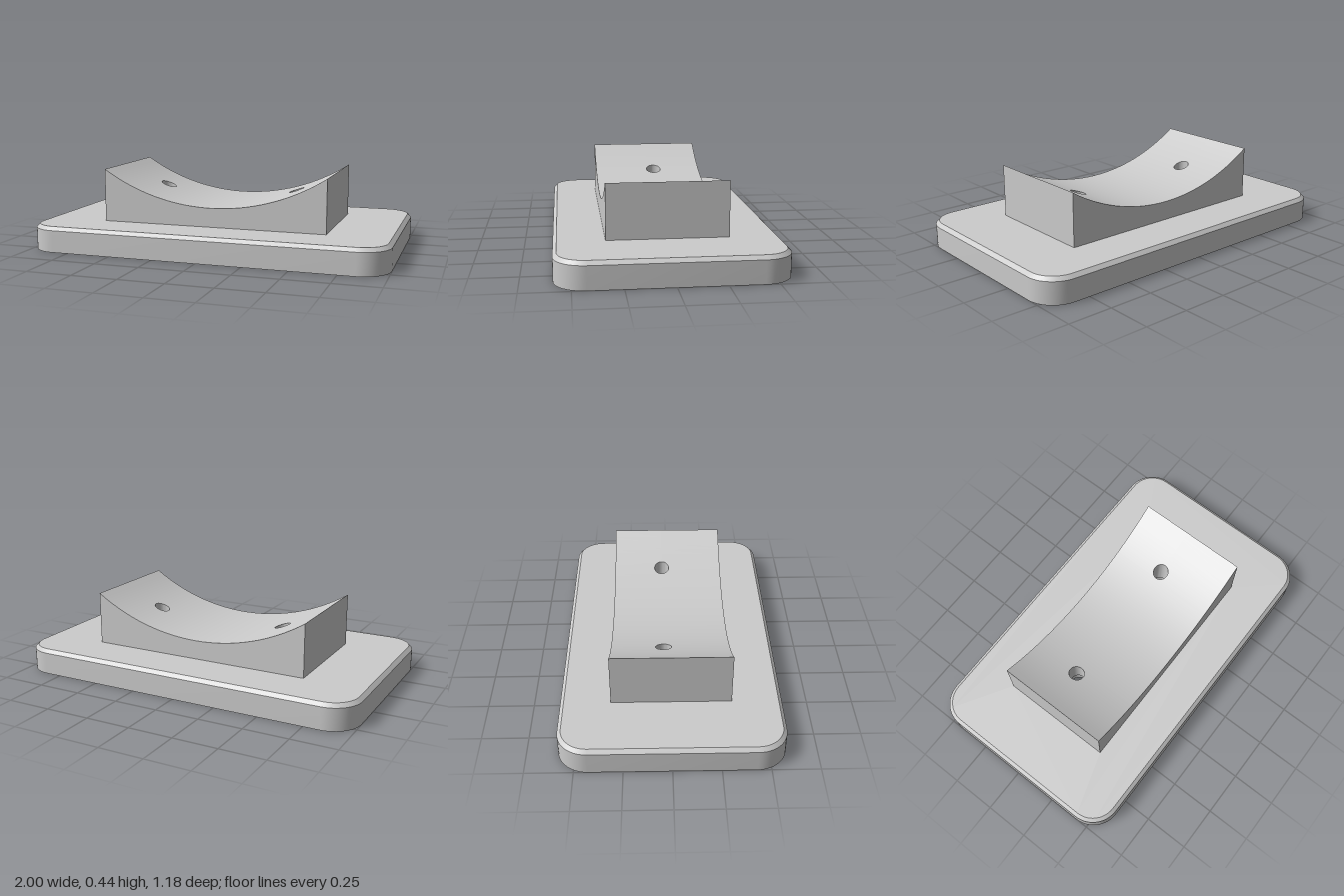
import * as THREE from 'three';
import { toCreasedNormals } from 'three/addons/utils/BufferGeometryUtils.js';

const PLATE = { x: 1, z: 0.588, r: 0.16, h: 0.143, chamfer: 0.02 };
const BLOCK = { x: 0.64, z: 0.32, low: 0.249, high: 0.44 };
const HOLE = { x: 0.393, z: -0.037, r: 0.043, boreR: 0.072 };

const material = new THREE.MeshStandardMaterial({ color: 0xcccccc });

// Saddle curve: circular arc through the block's top corners
const sag = BLOCK.high - BLOCK.low;
const R = (BLOCK.x ** 2 + sag ** 2) / (2 * sag);
const saddleY = (x) => BLOCK.low + R - Math.sqrt(R * R - x * x);

function addMesh(group, name, geometry) {
  const mesh = new THREE.Mesh(geometry, material);
  mesh.name = name;
  group.add(mesh);
  return mesh;
}

// Collects quads (counter-clockwise from outside) into a creased geometry
function quadGeometry(build) {
  const pos = [];
  build((a, b, c, d) => pos.push(...a, ...b, ...c, ...a, ...c, ...d));
  const g = new THREE.BufferGeometry();
  g.setAttribute('position', new THREE.Float32BufferAttribute(pos, 3));
  return toCreasedNormals(g, 0.5);
}

// Rounded rectangle outline as [x, z], same point count for any inset
function outline(inset) {
  const pts = [], n = 12, r = PLATE.r - inset;
  const cx = PLATE.x - PLATE.r, cz = PLATE.z - PLATE.r;
  [[1, 1], [-1, 1], [-1, -1], [1, -1]].forEach(([sx, sz], q) => {
    for (let i = 0; i <= n; i++) {
      const a = (q + i / n) * Math.PI / 2;
      pts.push([sx * cx + r * Math.cos(a), sz * cz + r * Math.sin(a)]);
    }
  });
  return pts;
}

// Flat horizontal face with cut-outs; shape y maps to z, facing down
function flatFace(points, holes) {
  const shape = new THREE.Shape(points.map(([x, z]) => new THREE.Vector2(x, z)));
  shape.holes.push(...holes);
  return new THREE.ShapeGeometry(shape, 24).rotateX(Math.PI / 2);
}

function circlePath(x, r) {
  return new THREE.Path().absarc(x, HOLE.z, r, 0, Math.PI * 2, true);
}

function createPlate() {
  const group = new THREE.Group();
  group.name = 'basePlate';
  const { h, chamfer } = PLATE;

  // Side wall and chamfer
  const levels = [[0, 0], [h - chamfer, 0], [h, chamfer]];
  addMesh(group, 'plateEdge', quadGeometry((quad) => {
    const rings = levels.map(([y, inset]) => outline(inset).map(([x, z]) => [x, y, z]));
    for (let k = 0; k < 2; k++) {
      const lo = rings[k], hi = rings[k + 1];
      lo.forEach((p, i) => {
        const j = (i + 1) % lo.length;
        quad(lo[j], p, hi[i], hi[j]);
      });
    }
  }));

  // Underside with counterbores
  addMesh(group, 'plateBottom', flatFace(outline(0),
    [-1, 1].map((s) => circlePath(s * HOLE.x, HOLE.boreR))));

  // Top face around the block (mirrored in z so that it faces up)
  const { x, z } = BLOCK;
  const opening = new THREE.Path([[-x, -z], [-x, z], [x, z], [x, -z]]
    .map(([a, b]) => new THREE.Vector2(a, b)));
  const top = addMesh(group, 'plateTop', flatFace(outline(chamfer), [opening]));
  top.rotation.x = Math.PI;
  top.position.y = h;

  // Counterbore walls (inward facing) and shoulders
  for (const s of [-1, 1]) {
    const wall = new THREE.CylinderGeometry(HOLE.boreR, HOLE.boreR, h, 48, 1, true);
    wall.scale(-1, 1, 1);
    const index = wall.index.array;
    // The mirrored winding faces inward; mirror the normals to match
    const normals = wall.attributes.normal;
    for (let i = 0; i < normals.count; i++) {
      normals.setXYZ(i, -wall.attributes.position.getX(i) / HOLE.boreR, 0,
        -wall.attributes.position.getZ(i) / HOLE.boreR);
    }
    wall.setIndex(Array.from(index));
    addMesh(group, 'counterbore', wall).position.set(s * HOLE.x, h / 2, HOLE.z);
    const ring = new THREE.RingGeometry(HOLE.r, HOLE.boreR, 48).rotateX(Math.PI / 2);
    addMesh(group, 'counterboreShoulder', ring).position.set(s * HOLE.x, h, HOLE.z);
  }
  return group;
}

function createSaddle() {
  // Column positions: even steps, plus the exact points of each hole's rim
  const xs = [], n = 32;
  for (let i = 0; i <= n; i++) {
    const x = BLOCK.x * (2 * i / n - 1);
    if (Math.abs(Math.abs(x) - HOLE.x) > HOLE.r + 0.002) xs.push(x);
  }
  for (const s of [-1, 1]) {
    for (let k = 0; k <= 16; k++) xs.push(s * HOLE.x + HOLE.r * Math.cos(k * Math.PI / 16));
  }
  xs.sort((a, b) => a - b);
  const gap = (x) => Math.sqrt(Math.max(0, HOLE.r ** 2 - (Math.abs(x) - HOLE.x) ** 2));
  const base = PLATE.h, Z = BLOCK.z;

  const geometry = quadGeometry((quad) => {
    for (let i = 0; i < xs.length - 1; i++) {
      const a = xs[i], b = xs[i + 1], ya = saddleY(a), yb = saddleY(b);
      const ga = gap(a), gb = gap(b);
      // Front and back faces
      quad([a, base, Z], [b, base, Z], [b, yb, Z], [a, ya, Z]);
      quad([b, base, -Z], [a, base, -Z], [a, ya, -Z], [b, yb, -Z]);
      // Curved seat, in front of and behind the hole
      const fa = HOLE.z + ga, fb = HOLE.z + gb, ra = HOLE.z - ga, rb = HOLE.z - gb;
      quad([a, ya, Z], [b, yb, Z], [b, yb, fb], [a, ya, fa]);
      quad([a, ya, ra], [b, yb, rb], [b, yb, -Z], [a, ya, -Z]);
      // Screw hole walls
      if (Math.abs(Math.abs((a + b) / 2) - HOLE.x) < HOLE.r) {
        quad([b, base, fb], [a, base, fa], [a, ya, fa], [b, yb, fb]);
        quad([a, base, ra], [b, base, rb], [b, yb, rb], [a, ya, ra]);
      }
    }
    // End faces
    const X = BLOCK.x, t = BLOCK.high;
    quad([X, base, Z], [X, base, -Z], [X, t, -Z], [X, t, Z]);
    quad([-X, base, -Z], [-X, base, Z], [-X, t, Z], [-X, t, -Z]);
  });
  const group = new THREE.Group();
  group.name = 'saddle';
  addMesh(group, 'saddleBlock', geometry);
  return group;
}

export function createModel() {
  const model = new THREE.Group();
  model.name = 'saddleMount';
  model.add(createPlate(), createSaddle());
  return model;
}
